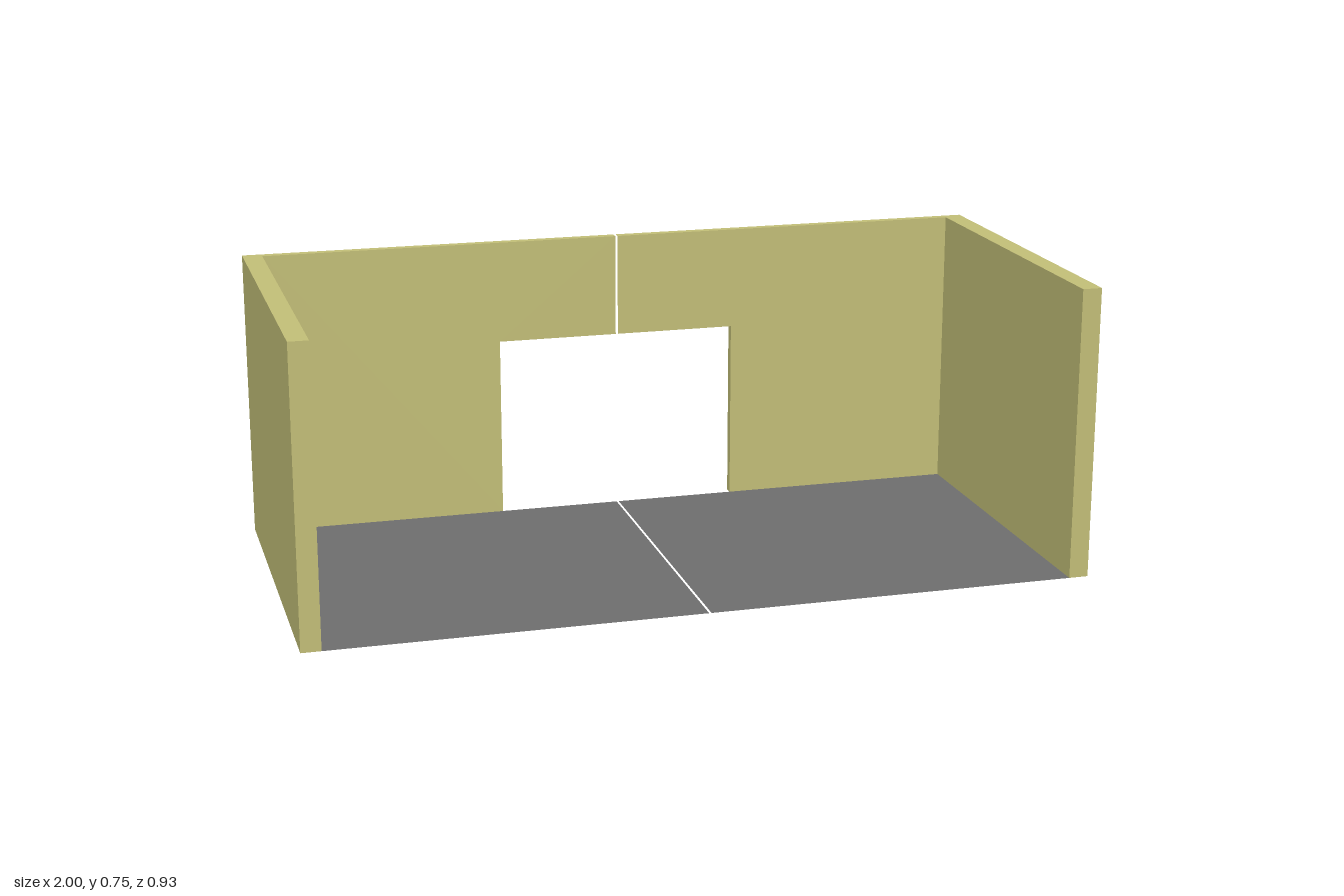
import * as THREE from 'three';

const H = 0.752;       // wall height
const D = 0.466;       // half depth
const INNER_X = 0.95;  // inner face of side wall
const INNER_Z = -0.443; // inner face of back wall
const DOOR_X = 0.325;  // half width of doorway
const DOOR_Y = 0.48;   // doorway height
const GAP = 0.003;     // half of the seam between the two halves

const wallMat = new THREE.MeshStandardMaterial({ color: 0xc6c27a, side: THREE.DoubleSide });
const floorMat = new THREE.MeshStandardMaterial({ color: 0x707070, side: THREE.DoubleSide });

function add(group, name, geometry, material) {
  const mesh = new THREE.Mesh(geometry, material);
  mesh.name = name;
  group.add(mesh);
  return mesh;
}

// One half of the room; s = 1 for +x, -1 for -x
function createHalf(s) {
  const half = new THREE.Group();

  // Side wall and back wall as one L-shaped footprint, extruded upward
  const footprint = new THREE.Shape([
    [DOOR_X, -D], [1, -D], [1, D], [INNER_X, D], [INNER_X, INNER_Z], [DOOR_X, INNER_Z],
  ].map(([x, z]) => new THREE.Vector2(s * x, -z)));
  const walls = new THREE.ExtrudeGeometry(footprint, { depth: H, bevelEnabled: false });
  walls.rotateX(-Math.PI / 2);
  add(half, 'cornerWalls', walls, wallMat);

  // Thin panel above the doorway, flush with the inner wall face
  const w = DOOR_X - GAP;
  const midX = s * (DOOR_X + GAP) / 2;
  add(half, 'lintelPanel', new THREE.PlaneGeometry(w, H - DOOR_Y), wallMat)
    .position.set(midX, (H + DOOR_Y) / 2, INNER_Z);

  // Thin cap running over the top of the doorway
  const cap = new THREE.PlaneGeometry(w, D + INNER_Z).rotateX(-Math.PI / 2);
  add(half, 'lintelCap', cap, wallMat).position.set(midX, H, (INNER_Z - D) / 2);

  // Floor sheet
  const floor = new THREE.PlaneGeometry(INNER_X - GAP, D - INNER_Z).rotateX(-Math.PI / 2);
  add(half, 'floor', floor, floorMat)
    .position.set(s * (INNER_X + GAP) / 2, 0, (D + INNER_Z) / 2);

  return half;
}

export function createModel() {
  const room = new THREE.Group();
  room.name = 'room';
  for (const s of [1, -1]) {
    const half = createHalf(s);
    half.name = s > 0 ? 'leftHalf' : 'rightHalf';
    room.add(half);
  }
  return room;
}
